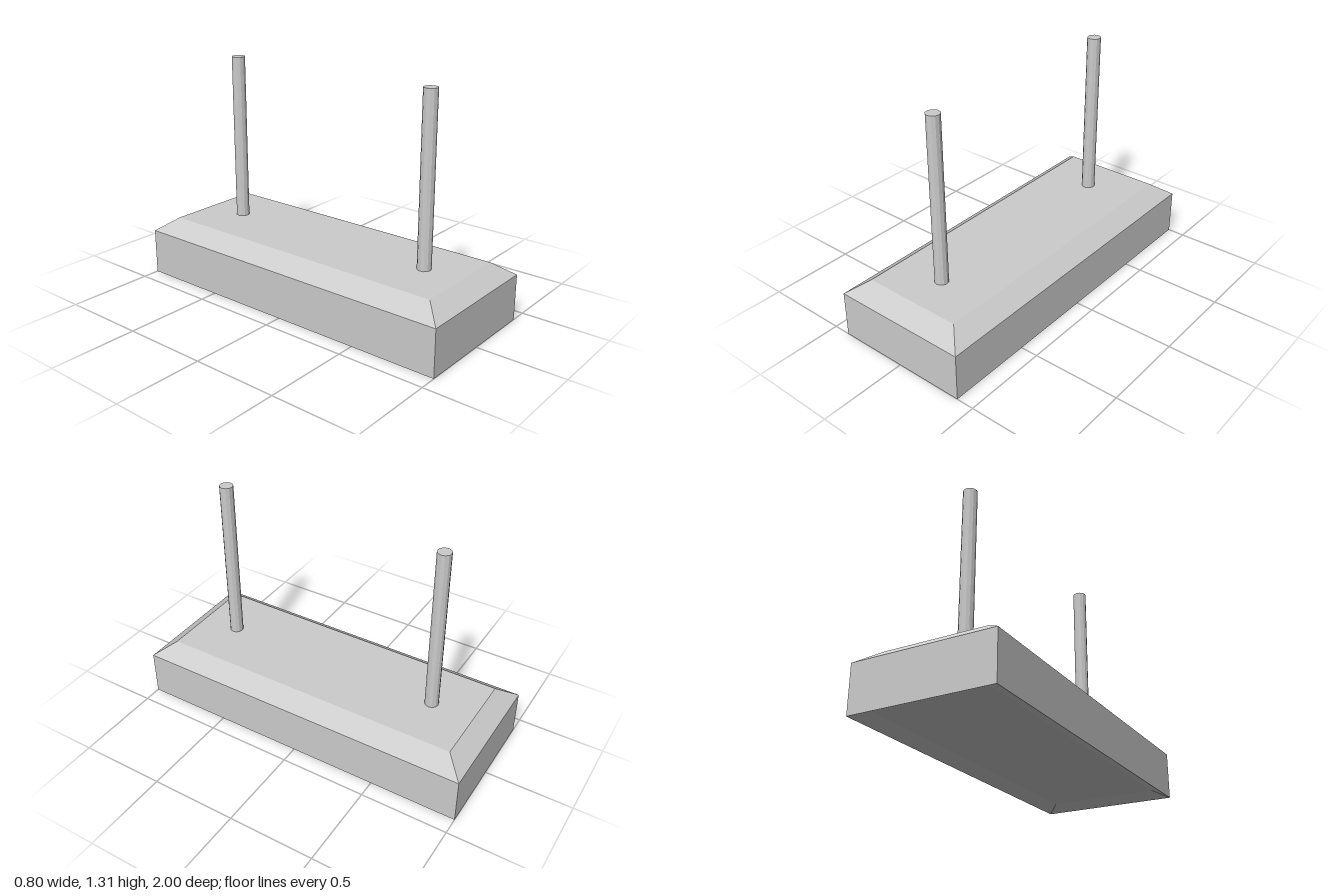
import * as THREE from 'three';

// Skin a stack of rectangles [halfX, y, halfZ] and cap both ends
function rectLoft(rings) {
  const pos = [];
  const corners = rings.map(([x, y, z]) => [[-x, y, z], [x, y, z], [x, y, -z], [-x, y, -z]]);
  const quad = (a, b, c, d) => pos.push(...a, ...b, ...c, ...a, ...c, ...d);
  for (let i = 0; i < corners.length - 1; i++) {
    const lo = corners[i], hi = corners[i + 1];
    for (let k = 0; k < 4; k++) {
      const n = (k + 1) % 4;
      quad(lo[k], lo[n], hi[n], hi[k]);
    }
  }
  const first = corners[0];
  quad(first[3], first[2], first[1], first[0]);
  quad(...corners[corners.length - 1]);
  const geo = new THREE.BufferGeometry();
  geo.setAttribute('position', new THREE.Float32BufferAttribute(pos, 3));
  geo.computeVertexNormals();
  return geo;
}

export function createModel() {
  const model = new THREE.Group();
  const material = new THREE.MeshStandardMaterial({ color: 0xcccccc, flatShading: true });

  // Base block: shallow sloped recess underneath, straight walls, bevelled top
  const base = new THREE.Mesh(rectLoft([
    [0.32, 0.035, 0.92],
    [0.4, 0, 1],
    [0.4, 0.267, 1],
    [0.293, 0.345, 0.893],
  ]), material);
  base.name = 'base';
  model.add(base);

  // Upright rods, standing on the top face
  const bottom = 0.34, top = 1.31;
  const rodGeometry = new THREE.CylinderGeometry(0.039, 0.039, top - bottom, 12);
  for (const [name, z] of [['frontRod', 0.668], ['backRod', -0.645]]) {
    const rod = new THREE.Mesh(rodGeometry, material);
    rod.name = name;
    rod.position.set(0, (top + bottom) / 2, z);
    model.add(rod);
  }
  return model;
}
